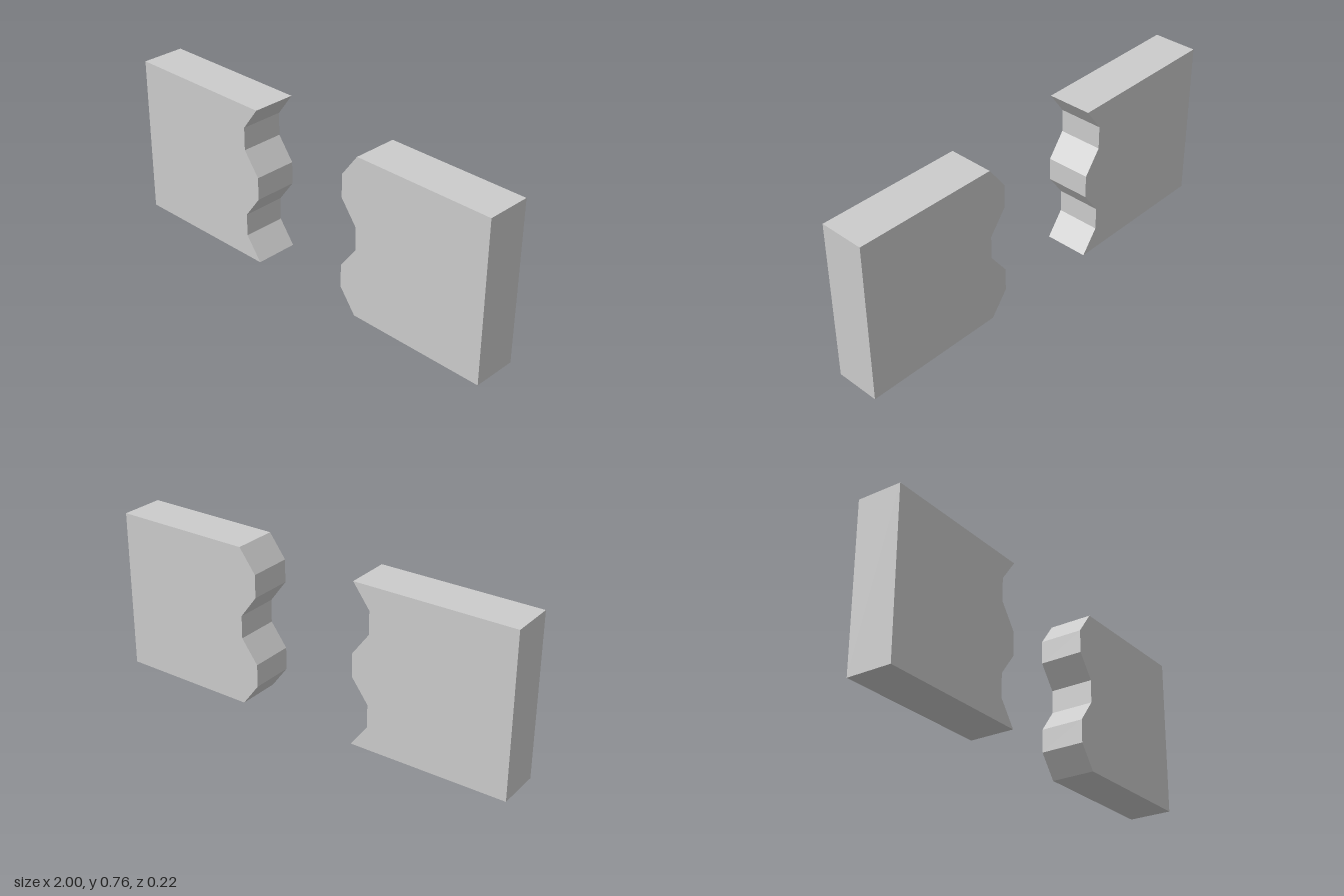
import * as THREE from 'three';

const HEIGHT = 0.76, DEPTH = 0.209, STEP = HEIGHT / 7;

// Slab with a straight outer edge and a toothed inner edge; odd pairs of points sit at xMid.
function makeSlab(name, outerX, xEnd, xMid, material) {
  const shape = new THREE.Shape();
  shape.moveTo(outerX, 0);
  for (let i = 0; i < 8; i++) {
    const x = Math.floor((i + 1) / 2) % 2 ? xMid : xEnd;
    shape.lineTo(x, i * STEP);
  }
  shape.lineTo(outerX, HEIGHT);
  const geometry = new THREE.ExtrudeGeometry(shape, { depth: DEPTH, bevelEnabled: false });
  geometry.translate(0, 0, -DEPTH / 2);
  const mesh = new THREE.Mesh(geometry, material);
  mesh.name = name;
  return mesh;
}

export function createModel() {
  const group = new THREE.Group();
  group.name = 'matchingToothedSlabs';
  const material = new THREE.MeshStandardMaterial({ color: 0xcccccc, flatShading: true });

  // Left-hand slab of the pair, turned very slightly about its own middle
  const notched = makeSlab('notchedSlab', -0.371, 0.373, 0.293, material);
  notched.position.set(-0.628, 0, 0);
  notched.rotation.y = 0.011;

  // Mating slab with the teeth that fit the notches
  const toothed = makeSlab('toothedSlab', 1, 0.333, 0.252, material);
  toothed.position.z = -0.004;

  group.add(notched, toothed);
  return group;
}
